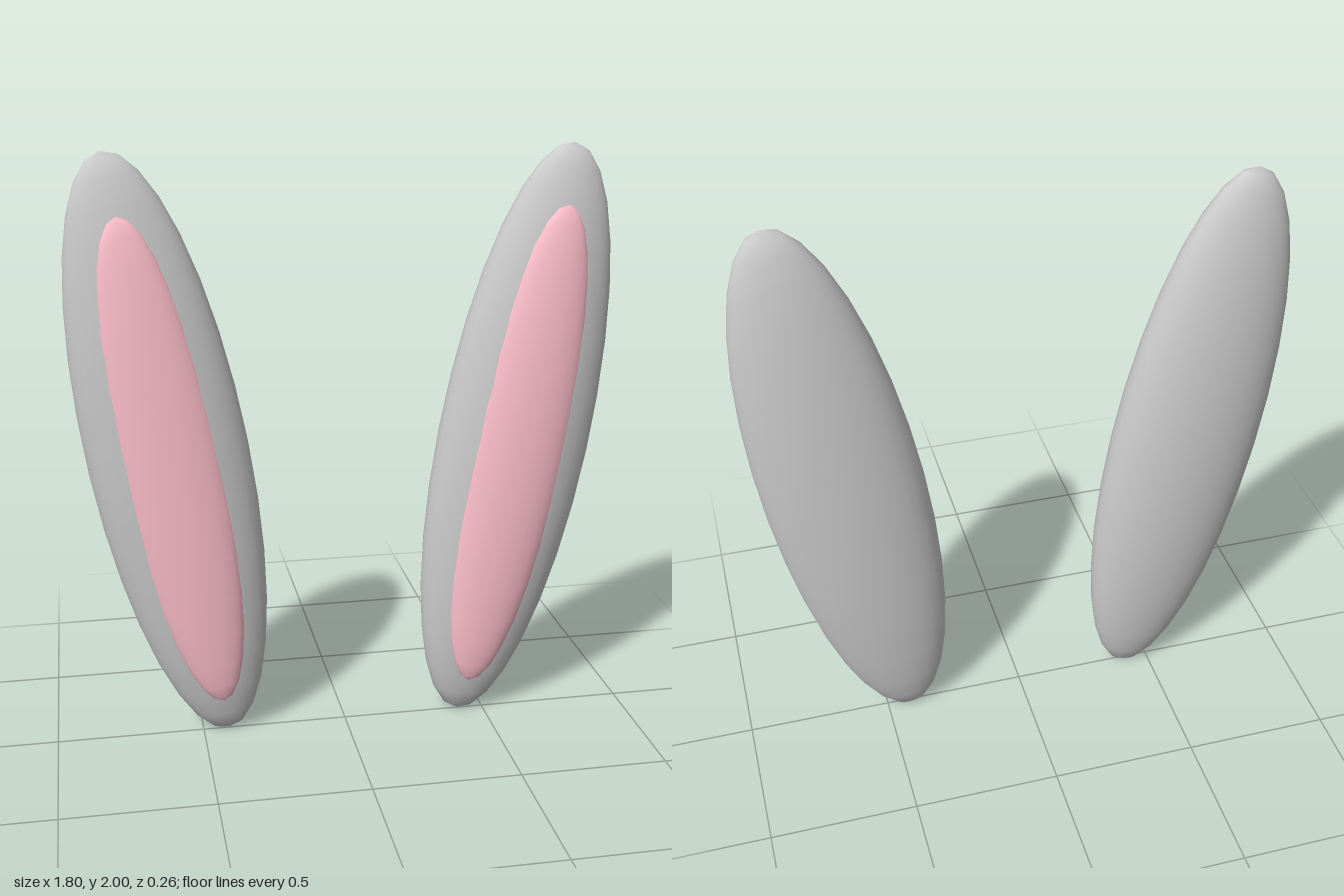
import * as THREE from 'three';

const TILT = THREE.MathUtils.degToRad(10);

// Smooth ellipsoid with its poles along the length of the ear
function ellipsoid(name, radii, position, material) {
  const geometry = new THREE.SphereGeometry(1, 32, 16).scale(...radii);
  geometry.rotateZ(0);
  const mesh = new THREE.Mesh(geometry, material);
  mesh.name = name;
  mesh.position.set(...position);
  return mesh;
}

export function createModel() {
  const model = new THREE.Group();
  model.name = 'earPair';
  const grey = new THREE.MeshStandardMaterial({ color: 0xcccccc });
  const pink = new THREE.MeshStandardMaterial({ color: 0xffc0cb });

  // One long ear per side, leaning outwards
  for (const [name, side] of [['leftEar', 1], ['rightEar', -1]]) {
    const ear = new THREE.Group();
    ear.name = name;
    ear.position.set(0.585 * side, 1.003, 0);
    ear.rotation.z = -TILT * side;
    ear.add(
      ellipsoid('outerEar', [0.265, 1.013, 0.127], [0, 0, -0.005], grey),
      // Inner pad half sunk into the front
      ellipsoid('innerEar', [0.168, 0.844, 0.063], [-0.002 * side, -0.026, 0.07], pink),
    );
    model.add(ear);
  }
  return model;
}
